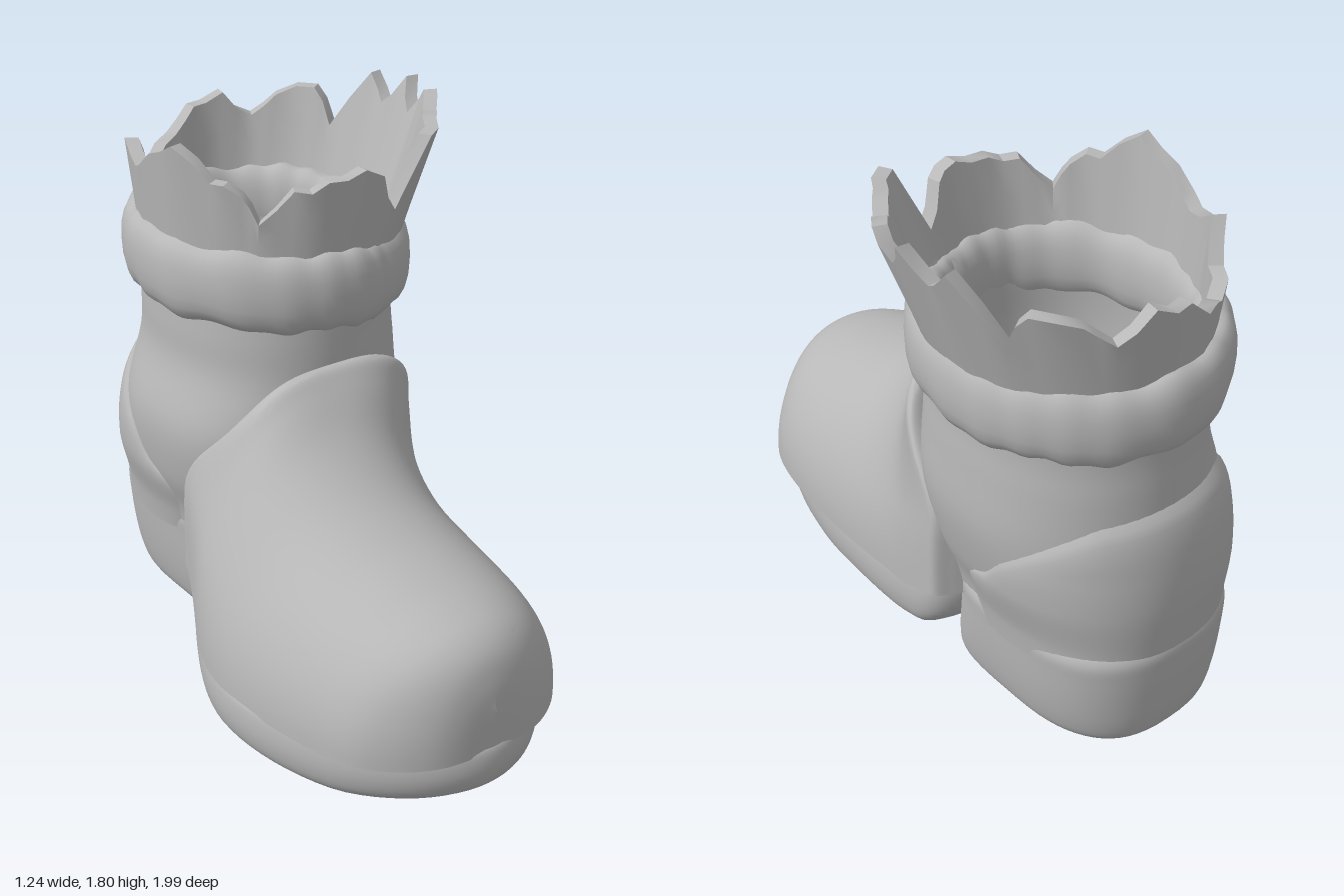
import * as THREE from 'three';
import { toCreasedNormals } from 'three/addons/utils/BufferGeometryUtils.js';

const leather = new THREE.MeshStandardMaterial({ color: 0xb8b8b8, side: THREE.DoubleSide });
leather.name = 'grey leather';
const TAU = Math.PI * 2;

// Grid surface from fn(u, v) -> [x, y, z], u and v in 0..1
function surface(name, cols, rows, fn, crease = 0.9) {
  const pos = [], index = [];
  for (let j = 0; j <= rows; j++)
    for (let i = 0; i <= cols; i++) pos.push(...fn(i / cols, j / rows));
  for (let j = 0; j < rows; j++)
    for (let i = 0; i < cols; i++) {
      const a = j * (cols + 1) + i, b = a + cols + 1;
      index.push(a, a + 1, b, a + 1, b + 1, b);
    }
  const geo = new THREE.BufferGeometry();
  geo.setAttribute('position', new THREE.Float32BufferAttribute(pos, 3));
  geo.setIndex(index);
  const mesh = new THREE.Mesh(toCreasedNormals(geo, crease), leather);
  mesh.name = name;
  return mesh;
}

// Smooth interpolation through rows of numbers, t in 0..1
function track(rows) {
  const size = rows[0].length;
  const it = new THREE.CubicInterpolant(rows.map((_, i) => i), rows.flat(), size, new Float64Array(size));
  return t => Array.from(it.evaluate(t * (rows.length - 1)));
}

// Piecewise linear lookup, xs ascending
function lin(xs, ys, x) {
  if (x <= xs[0]) return ys[0];
  for (let i = 1; i < xs.length; i++)
    if (x <= xs[i]) return ys[i - 1] + (ys[i] - ys[i - 1]) * (x - xs[i - 1]) / (xs[i] - xs[i - 1]);
  return ys[ys.length - 1];
}

const power = (c, p) => Math.sign(c) * Math.abs(c) ** p;
// Superellipse ring; angle 0 faces +z and turns toward +x; front and back squareness
function ringPoint(a, y, cx, cz, rx, rz, front = 2, back = front) {
  const n = Math.cos(a) > 0 ? front : back;
  return [cx + rx * power(Math.sin(a), 2 / n), y, cz + rz * power(Math.cos(a), 2 / n)];
}

// Seam height between sole and upper
const seam = z => lin([-0.27, -0.2, -0.1, 0, 0.12, 0.25, 1], [0.37, 0.35, 0.295, 0.255, 0.23, 0.22, 0.235], z);

// Shaft and ankle sections: y, cx, cz, rx, rz, front squareness
const ankle = track([
  [0.25, 0.0, -0.55, 0.335, 0.36, 2.8], [0.45, 0.0, -0.53, 0.36, 0.4, 2.8],
  [0.6, 0.0, -0.51, 0.405, 0.43, 2.8], [0.8, 0.01, -0.48, 0.43, 0.455, 2.5],
  [1.0, 0.035, -0.465, 0.398, 0.455, 2.2], [1.15, 0.035, -0.46, 0.39, 0.45, 2.1],
  [1.4, 0.05, -0.465, 0.39, 0.45, 2],
]);
const ankleAt = y => ankle(lin([0.25, 0.45, 0.6, 0.8, 1, 1.15, 1.4], [0, 1, 2, 3, 4, 5, 6], y) / 6);

function makeSole() {
  const outline = new THREE.CatmullRomCurve3([
    [-0.13, 1], [0.05, 0.945], [0.22, 0.77], [0.32, 0.47], [0.345, 0.2], [0.355, -0.02], [0.345, -0.2],
    [0.2, -0.27], [-0.2, -0.27], [-0.43, -0.18], [-0.55, 0], [-0.615, 0.2], [-0.605, 0.48],
    [-0.5, 0.77], [-0.32, 0.945],
  ].map(([x, z]) => new THREE.Vector3(x, 0, z)), true);
  // scale about the centre, height fraction
  const profile = track([[0, 0], [0.5, 0], [0.78, 0.01], [0.9, 0.06], [0.97, 0.22], [1, 0.5],
    [0.998, 0.8], [0.975, 0.97], [0.92, 1.02], [0.6, 1]]);
  return surface('sole', 80, 36, (u, v) => {
    const p = outline.getPoint(u % 1), [s, f] = profile(v);
    const x = -0.12 + (p.x + 0.12) * s, z = 0.3 + (p.z - 0.3) * s;
    const low = lin([-0.27, -0.18, -0.1, 0, 0.2, 0.7, 1], [0.12, 0.085, 0.04, 0.012, 0.005, 0.015, 0.04], z);
    return [x, low + (seam(z) - low) * f, z];
  });
}

function makeVamp() {
  // zTop, zBottom, cx, half width, top height, roundness (1 = elliptic arch)
  const stations = track([
    [0.99, 0.99, -0.13, 0, 0.35, 1], [0.978, 0.978, -0.13, 0.14, 0.44, 1],
    [0.95, 0.945, -0.13, 0.235, 0.52, 0.97], [0.895, 0.88, -0.13, 0.325, 0.575, 0.95],
    [0.81, 0.79, -0.13, 0.395, 0.61, 0.95], [0.68, 0.65, -0.13, 0.44, 0.645, 0.95],
    [0.5, 0.44, -0.135, 0.472, 0.7, 0.98], [0.33, 0.23, -0.135, 0.479, 0.78, 1],
    [0.18, 0.05, -0.11, 0.466, 0.89, 0.93], [0.07, -0.12, -0.05, 0.443, 1.01, 0.76],
    [0.02, -0.22, -0.02, 0.427, 1.06, 0.64], [-0.02, -0.27, -0.01, 0.415, 1.05, 0.61],
    [-0.04, -0.3, 0.0, 0.36, 1.0, 0.65], [-0.05, -0.32, 0.01, 0.31, 0.93, 0.7],
  ]);
  return surface('toeUpper', 56, 65, (u, v) => {
    const [zt, zb, cx, w, top, round] = stations(v);
    const a = Math.PI * u, s = Math.max(Math.sin(a), 0) ** round;
    const z = zb + (zt - zb) * THREE.MathUtils.smoothstep(s, 0.4, 1);
    const y0 = seam(z) - 0.03;
    return [cx + w * power(Math.cos(a), round), y0 + (top - y0) * s, z];
  });
}

function makeHeel() {
  // y, z front, z back, half width
  const rows = track([
    [0.01, -0.55, -0.57, 0], [0.005, -0.32, -0.84, 0.2], [0.015, -0.24, -0.9, 0.255],
    [0.06, -0.185, -0.95, 0.31], [0.12, -0.19, -0.968, 0.332], [0.22, -0.21, -0.978, 0.348],
    [0.34, -0.23, -0.983, 0.358], [0.41, -0.24, -0.978, 0.36], [0.46, -0.29, -0.94, 0.33],
  ]);
  return surface('heelBlock', 64, 32, (u, v) => {
    const [y, zf, zb, rx] = rows(v);
    return ringPoint(u * TAU, y, 0.005, (zf + zb) / 2, rx, (zf - zb) / 2, 3.8, 2.6);
  });
}

// Padded shell wrapped round the back of the ankle
function makeCounter() {
  return surface('heelCounter', 56, 20, (u, v) => {
    const a = Math.PI + (u - 0.5) * 3.6;
    const z = -0.51 + 0.47 * Math.cos(a);
    const top = lin([-0.98, -0.9, -0.8, -0.6, -0.45, -0.35], [0.95, 0.93, 0.86, 0.71, 0.55, 0.43], z);
    const y = 0.36 + (top - 0.36) * v;
    const [, cx, cz, rx, rz, front] = ankleAt(y);
    const pad = Math.sqrt(Math.max(1 - v ** 5, 0)) * Math.min(1, (1 - Math.abs(2 * u - 1)) * 8);
    return ringPoint(a, y, cx, cz, rx + pad * 0.035 - 0.01, rz + pad * 0.062 - 0.01,
      front, lin([0.36, 0.75], [2.5, 2.1], y));
  });
}

// Soft rolled cuff with uneven edges and a crease near the front
function makeCuff() {
  return surface('cuff', 120, 20, (u, v) => {
    const a = u * TAU, b = v * TAU;
    const lump = 0.006 * Math.sin(a * 8 + 1 + Math.sin(b)) + 0.005 * Math.sin(a * 19 + 2 * Math.sin(a * 3));
    const crease = 0.02 * Math.exp(-(((a - 0.33) / 0.035) ** 2));
    const out = (0.066 + lump * 0.3 - crease) * power(Math.cos(b), 0.85);
    const p = ringPoint(a, 0, 0.045, -0.47, 0.39 + out, 0.452 + out);
    p[1] = 1.31 - 0.035 * p[0] + (0.133 + lump - crease * 0.3) * power(Math.sin(b), 0.85);
    return p;
  });
}

// Torn collar: angle in degrees, rim height, outward lean
function makeCollar() {
  const rim = [[0, 1.7, 0], [10, 1.66, 0], [20, 1.53, 0], [27, 1.76, 0.05], [42, 1.77, 0.02], [56, 1.75, 0.01],
    [68, 1.79, 0.03], [75, 1.7, 0.02], [83, 1.8, 0.01], [92, 1.7, 0], [102, 1.78, 0], [118, 1.58, 0],
    [128, 1.7, 0], [145, 1.67, 0], [155, 1.6, 0], [170, 1.69, 0], [185, 1.66, 0], [195, 1.58, 0],
    [215, 1.52, 0], [230, 1.56, 0], [240, 1.68, 0], [255, 1.63, 0], [270, 1.71, 0], [285, 1.77, 0],
    [300, 1.67, 0], [312, 1.64, 0], [319, 1.55, 0], [332, 1.66, 0], [345, 1.68, 0], [360, 1.7, 0]];
  // add a chipped point between neighbours
  const pts = rim.flatMap((p, i) => {
    const q = rim[i + 1];
    return q ? [p, [(p[0] + q[0]) / 2, (p[1] + q[1]) / 2 + 0.018 * Math.sin(i * 5.3), (p[2] + q[2]) / 2]] : [p];
  });
  const cols = pts.length - 1;
  // height fraction of each row, then inset
  const rows = [[0, 0], [0.35, 0], [0.7, 0], [1, 0], [1, 0.045], [0.6, 0.045], [0, 0.045]];
  return surface('tornCollar', cols, rows.length - 1, (u, v) => {
    const i = Math.round(u * cols), [f, inset] = rows[Math.round(v * (rows.length - 1))];
    const [deg, h, lean] = pts[i];
    const y = 1.36 + (h - 1.36) * f, k = (y - 1.4) / 0.38;
    const chip = ((i % cols) % 3 === 1 ? 0.01 * f : 0) + lean * f - inset;
    return ringPoint(deg * Math.PI / 180, y, 0.06 + 0.04 * k, -0.465 + 0.005 * k,
      0.42 + 0.075 * k + chip, 0.465 + 0.035 * k + chip);
  }, 0.6);
}

// Inside wall and footbed: y, cx, cz, rx, rz, squareness
function makeLining() {
  const rows = track([
    [1.44, 0.06, -0.465, 0.395, 0.435, 2], [1.32, 0.045, -0.465, 0.345, 0.39, 2],
    [1.1, 0.025, -0.47, 0.335, 0.39, 2.2], [0.8, 0.01, -0.48, 0.31, 0.38, 2.6],
    [0.57, 0.005, -0.495, 0.285, 0.365, 3], [0.52, 0.005, -0.495, 0.25, 0.34, 3.4],
    [0.51, 0.005, -0.495, 0, 0, 3.4],
  ]);
  return surface('lining', 64, 30, (u, v) => ringPoint(u * TAU, ...rows(v)));
}

export function createModel() {
  const boot = new THREE.Group();
  boot.name = 'boot';
  boot.add(
    makeSole(), makeVamp(), makeHeel(), makeCounter(), makeCuff(), makeCollar(), makeLining(),
    surface('ankleShaft', 64, 30, (u, v) => {
      const [y, cx, cz, rx, rz, front] = ankle(v);
      return ringPoint(u * TAU, y, cx, cz, rx, rz, front, 2.1);
    }),
  );
  return boot;
}
